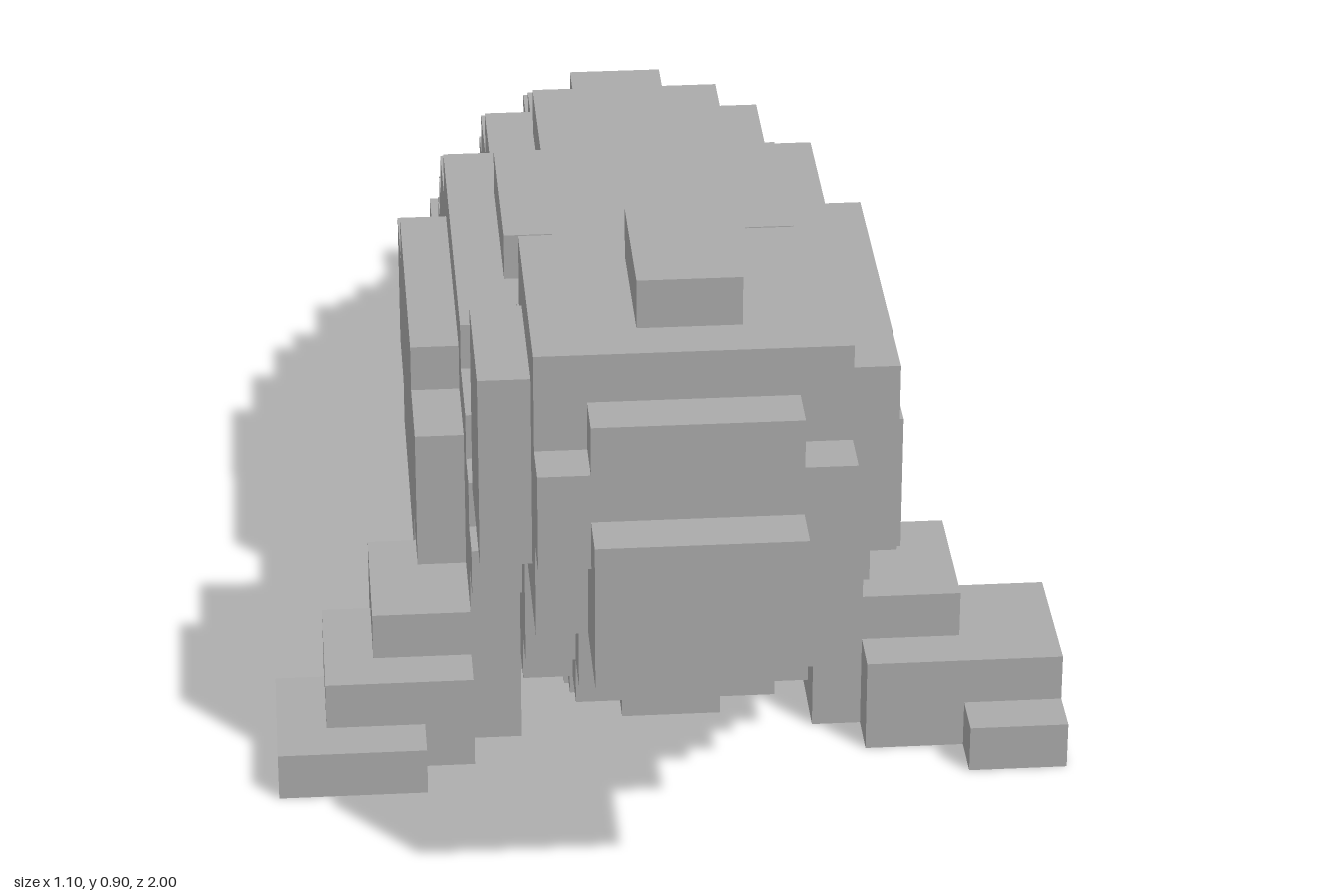
import * as THREE from 'three';
import { mergeGeometries } from 'three/addons/utils/BufferGeometryUtils.js';

const U = 2 / 29; // one block

// Block from [x0, x1, y0, y1, k0, k1] in units; k counts from the nose to the tail
function block([x0, x1, y0, y1, k0, k1]) {
  const g = new THREE.BoxGeometry((x1 - x0) * U, (y1 - y0) * U, (k1 - k0) * U);
  return g.translate((x0 + x1) / 2 * U, (y0 + y1) / 2 * U, (14.5 - (k0 + k1) / 2) * U);
}

// Blocky ellipsoid body: 10 wide, 9 tall, 20 long, built as nested bars per layer
function bodyBars() {
  const bars = [];
  for (let y = 0; y < 9; y++) {
    let last = 0;
    for (let w = 5; w >= 1; w--) {
      const rest = 1.09 - ((w - 0.5) / 5) ** 2 - ((y - 4) / 4.5) ** 2;
      if (rest <= 0) continue;
      const half = Math.min(10, Math.floor(Math.sqrt(rest) * 10 + 0.5));
      if (half <= last) continue;
      bars.push([-w, w, y, y + 1, 15 - half, 15 + half]);
      last = half;
    }
  }
  return bars;
}

export function createModel() {
  const group = new THREE.Group();
  const grey = new THREE.MeshStandardMaterial({ color: 0xaaaaaa });
  grey.name = 'grey';

  const parts = {
    body: bodyBars(),
    // Rounded head from stacked plates on a cube
    head: [
      [-3, 3, 6, 12, 2, 7],
      [-1, 1, 5, 13, 3, 6],
      [-4, 4, 7, 11, 3, 6],
      [-2, 2, 7, 11, 1, 8],
      [-3, 3, 8, 10, 1, 8],
    ],
    snout: [[-2, 2, 6, 9, 0, 2]],
    leftFrontFlipper: [
      [3, 6, 0, 3, 8, 11],
      [4, 8, 0, 2, 7, 10],
      [6, 8, 0, 1, 6, 7],
    ],
    rightFrontFlipper: [
      [-6, -3, 0, 3, 8, 11],
      [-7, -4, 0, 2, 7, 10],
      [-8, -5, 0, 1, 6, 9],
    ],
    leftTailFlipper: [
      [1, 3, 1, 3, 22, 27],
      [2, 4, 0, 2, 25, 29],
    ],
    rightTailFlipper: [
      [-3, 0, 1, 3, 22, 26],
      [-3, -1, 1, 3, 25, 27],
      [-3, -1, 0, 2, 25, 28],
      [-4, -2, 0, 2, 26, 29],
    ],
  };

  for (const [name, blocks] of Object.entries(parts)) {
    const mesh = new THREE.Mesh(mergeGeometries(blocks.map(block)), grey);
    mesh.name = name;
    group.add(mesh);
  }
  return group;
}
